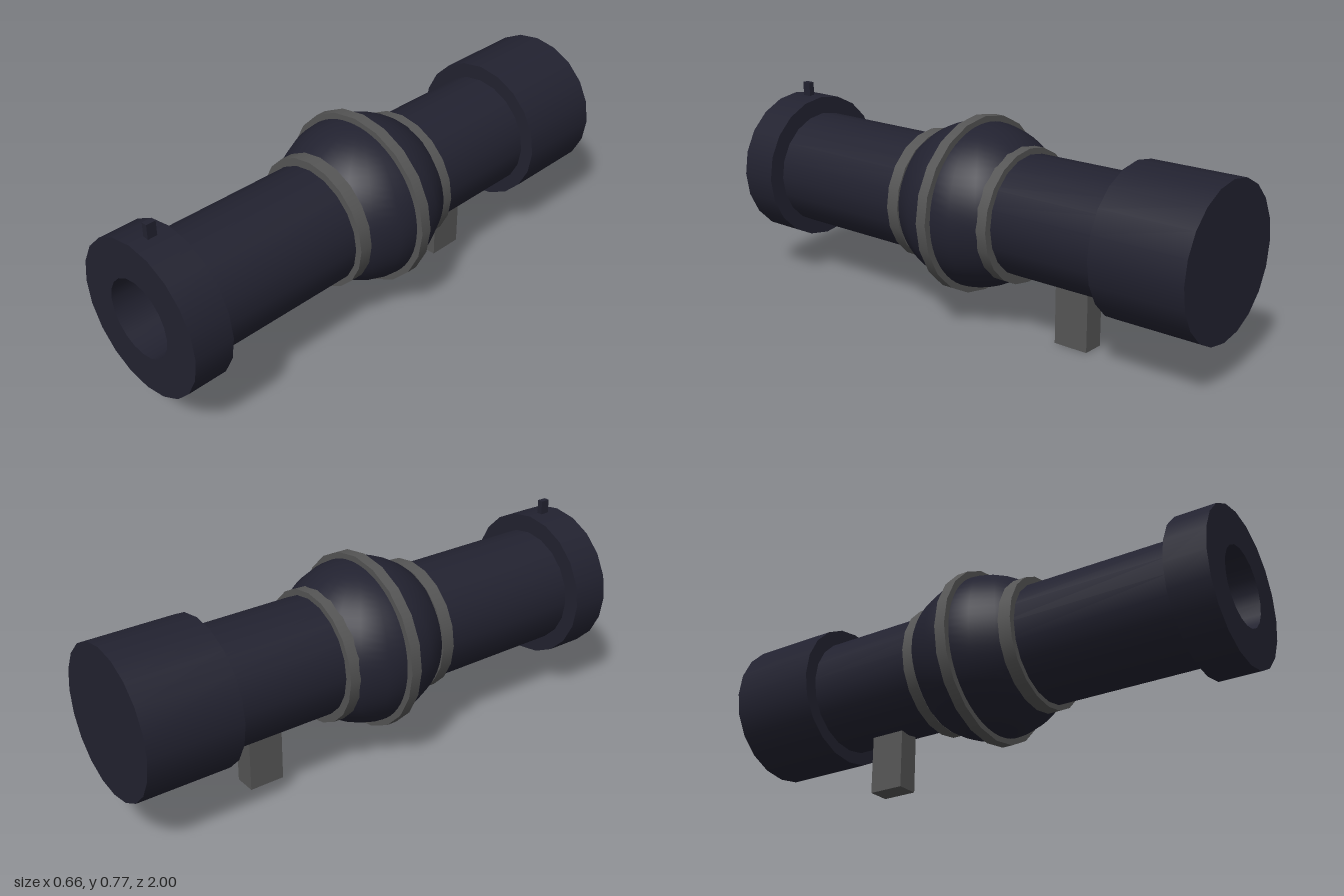
import * as THREE from 'three';
import { mergeGeometries } from 'three/addons/utils/BufferGeometryUtils.js';

const SIDES = 20;
const dark = new THREE.MeshStandardMaterial({ color: 0x222230 });
dark.name = 'darkMetal';
const gray = new THREE.MeshStandardMaterial({ color: 0x555555 });
gray.name = 'grayMetal';

// Turned solid along z; every [radius, z] step is its own strip so edges stay sharp
function turned(profile) {
  const strips = [];
  for (let i = 0; i < profile.length - 1; i++) {
    const pair = [profile[i], profile[i + 1]].map(([r, z]) => new THREE.Vector2(r, z));
    strips.push(new THREE.LatheGeometry(pair, SIDES));
  }
  return mergeGeometries(strips).rotateX(Math.PI / 2);
}

const drum = (r, z0, z1) => turned([[0, z0], [r, z0], [r, z1], [0, z1]]);

export function createModel() {
  const model = new THREE.Group();
  model.name = 'cannon';

  const add = (name, geometry, material, x, y, z = 0) => {
    const mesh = new THREE.Mesh(geometry, material);
    mesh.name = name;
    mesh.position.set(x, y, z);
    model.add(mesh);
  };

  // Muzzle with a blind bore
  add('muzzle', turned([
    [0, 0.85], [0.285, 0.85], [0.285, 1], [0.144, 1], [0.144, 0.85], [0, 0.85],
  ]), dark, 0, 0.43);
  add('frontSight', new THREE.BoxGeometry(0.022, 0.08, 0.036), dark, 0.003, 0.727, 0.922);

  // Barrel halves and rear block
  add('frontBarrel', drum(0.223, 0.1, 0.85), dark, 0, 0.425);
  add('rearBarrel', drum(0.221, -0.66, -0.1), dark, 0, 0.435);
  add('rearBlock', drum(0.274, -1, -0.648), dark, 0, 0.439);

  // Bulging centre chamber
  add('chamber', new THREE.SphereGeometry(0.307, SIDES, 32), dark, 0, 0.433, 0.015);

  // Gray bands
  add('centerBand', drum(0.33, -0.006, 0.036), gray, 0, 0.433);
  add('frontBand', drum(0.248, 0.204, 0.254), gray, 0, 0.43);
  add('rearBand', drum(0.248, -0.209, -0.165), gray, 0, 0.43);

  // Support post
  add('post', new THREE.BoxGeometry(0.084, 0.24, 0.136), gray, 0.003, 0.12, -0.43);

  return model;
}
